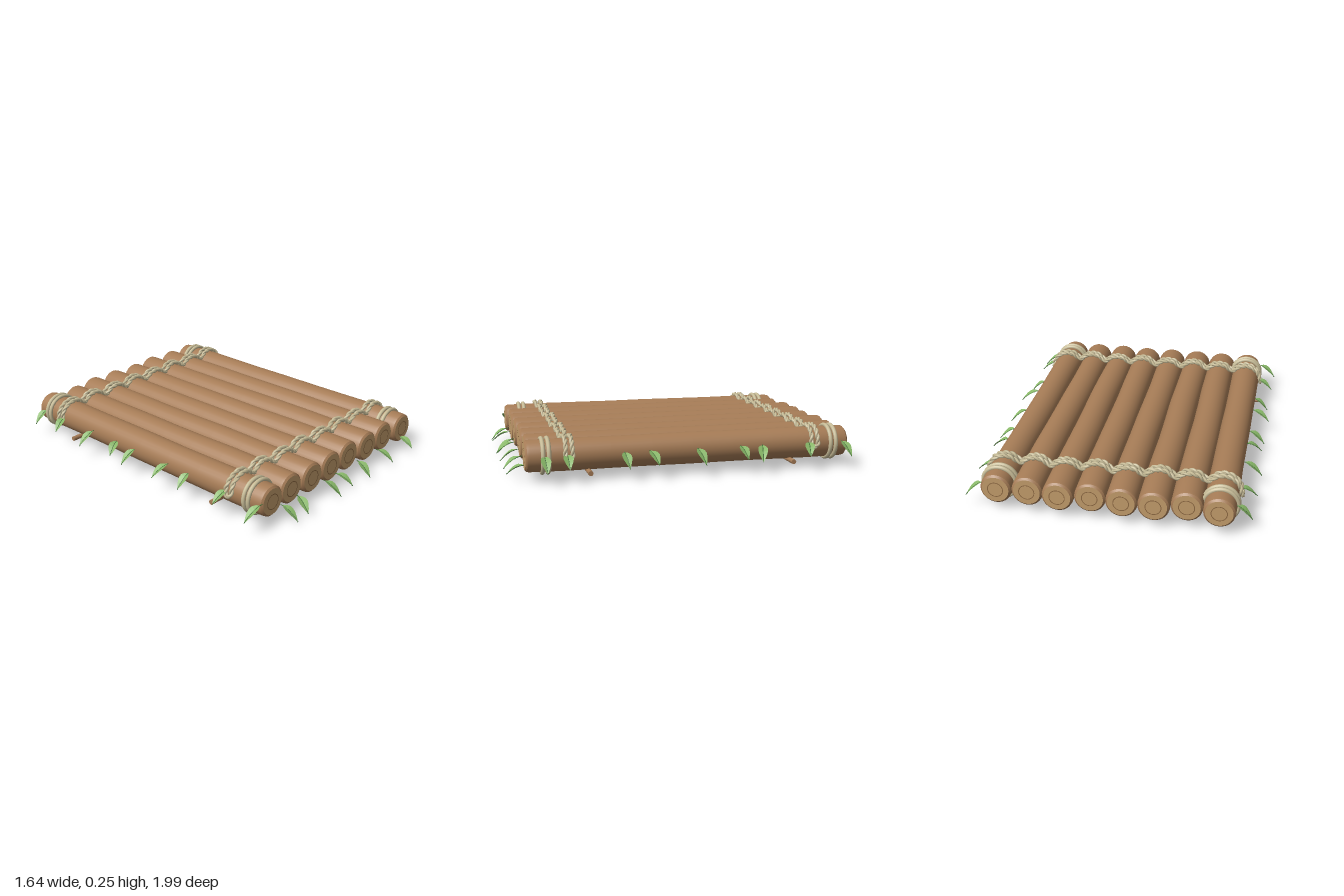
import * as THREE from 'three';
import { mergeGeometries, toCreasedNormals } from 'three/addons/utils/BufferGeometryUtils.js';

const material = (name, color, extra = {}) => {
  const m = new THREE.MeshStandardMaterial({ color, ...extra });
  m.name = name;
  return m;
};
const V = (x, y, z) => new THREE.Vector3(x, y, z);

const LOG_Y = 0.144, LOG_R = 0.09, ROPE_R = 0.101;
const LOG_X = [-0.625, -0.448, -0.271, -0.094, 0.083, 0.26, 0.437, 0.614];
const LOG_BACK = [-0.995, -0.97, -1, -0.995, -0.98, -1, -0.98, -0.985];
const LOG_FRONT = [0.89, 0.878, 0.885, 0.882, 0.875, 0.885, 0.88, 0.895];

export function createModel() {
  const raft = new THREE.Group();
  raft.name = 'raft';
  const bark = material('bark', 0xa67c56);
  const cutWood = material('cutWood', 0xc49e6c);
  const growthRing = material('growthRing', 0x8f6a43);
  const rope = material('rope', 0xc8bd98);
  const leafGreen = material('leafGreen', 0x86b566, { side: THREE.DoubleSide });
  const veinGreen = material('veinGreen', 0x4c7a40);

  const add = (name, geometry, mat, parent = raft) => {
    const mesh = new THREE.Mesh(geometry, mat);
    mesh.name = name;
    parent.add(mesh);
    return mesh;
  };

  // Logs: chamfered, faintly bent trunks with pale cut ends
  const makeLog = (x, z0, z1, i) => {
    const log = new THREE.Group();
    log.name = 'log' + (i + 1);
    log.position.set(x, LOG_Y, 0);
    const length = z1 - z0;
    const profile = [[0.076, 0], [LOG_R - 0.003, 0.01], [LOG_R - 0.001, 0.025]];
    for (let k = 1; k < 8; k++) profile.push([LOG_R + 0.0012 * Math.sin(k * 2.1 + i * 1.7), length * k / 8]);
    profile.push([LOG_R - 0.001, length - 0.025], [LOG_R - 0.003, length - 0.01], [0.076, length]);
    const trunk = new THREE.LatheGeometry(profile.map(([r, y]) => new THREE.Vector2(r, y)), 28);
    trunk.rotateX(Math.PI / 2).translate(0, 0, z0);
    const p = trunk.attributes.position;
    for (let k = 0; k < p.count; k++) {
      const t = (p.getZ(k) - z0) / length;
      p.setX(k, p.getX(k) + 0.0025 * Math.sin(Math.PI * t * (2 + i % 3)));
    }
    add('trunk', toCreasedNormals(trunk, 0.5), bark, log);
    for (const [end, z, dir] of [['front', z1, 1], ['back', z0, -1]]) {
      const turn = dir > 0 ? 0 : Math.PI;
      add(end + 'CutEnd', new THREE.CircleGeometry(0.076, 28).rotateY(turn).translate(0, 0, z), cutWood, log);
      add(end + 'GrowthRing', new THREE.RingGeometry(0.041, 0.046, 28).rotateY(turn)
        .translate(0, 0, z + dir * 0.002), growthRing, log);
    }
    raft.add(log);
  };
  LOG_X.forEach((x, i) => makeLog(x, LOG_BACK[i], LOG_FRONT[i], i));

  // Thin poles under the logs
  for (const [name, z] of [['backPole', -0.64], ['frontPole', 0.545]]) {
    add(name, new THREE.CylinderGeometry(0.014, 0.014, 1.46, 12).rotateZ(Math.PI / 2).translate(-0.005, 0.052, z), bark);
  }

  // Double rope coils round the outer logs
  for (const x of [LOG_X[0], LOG_X[7]]) {
    for (const z of [-0.905, -0.873, 0.768, 0.8]) {
      add('ropeCoil', new THREE.TorusGeometry(0.095, 0.0125, 8, 36).translate(x, LOG_Y, z), rope);
    }
  }

  // Twisted lashing: a closed loop running over every log and back
  const makeLashing = (name, z0) => {
    const over = [];
    LOG_X.forEach((x, i) => {
      const start = i === 0 ? 180 : 140, end = i === 7 ? 0 : 40;
      for (let k = 0; k <= 5; k++) {
        const a = THREE.MathUtils.degToRad(start + (end - start) * k / 5);
        over.push([x + ROPE_R * Math.cos(a), LOG_Y + 0.002 + ROPE_R * Math.sin(a)]);
      }
    });
    const sway = x => 0.005 * Math.sin(x * 17);
    const points = over.map(([x, y]) => V(x, y, z0 - 0.018 + sway(x)));
    points.push(V(0.72, LOG_Y - 0.012, z0));
    points.push(...over.slice().reverse().map(([x, y]) => V(x, y, z0 + 0.018 + sway(x))));
    points.push(V(-0.73, LOG_Y - 0.012, z0));
    const path = new THREE.CatmullRomCurve3(points, true);
    const steps = 480, turns = 44;
    const frames = path.computeFrenetFrames(steps, true);
    const strands = [0, Math.PI].map(phase => {
      const helix = [];
      for (let k = 0; k < steps; k++) {
        const a = phase + k / steps * turns * Math.PI * 2;
        helix.push(path.getPointAt(k / steps)
          .addScaledVector(frames.normals[k], 0.006 * Math.cos(a))
          .addScaledVector(frames.binormals[k], 0.006 * Math.sin(a)));
      }
      return new THREE.TubeGeometry(new THREE.CatmullRomCurve3(helix, true), 700, 0.0085, 6, true);
    });
    add(name, mergeGeometries(strands), rope);
  };
  makeLashing('backLashing', -0.768);
  makeLashing('frontLashing', 0.663);

  // Leaves: drooping blades folded along the midrib
  const makeLeaf = (name, base, tip) => {
    const leaf = new THREE.Group();
    leaf.name = name;
    const bend = base.clone().lerp(tip, 0.5);
    bend.y += 0.028;
    const midrib = new THREE.QuadraticBezierCurve3(base, bend, tip);
    const out = V(tip.x - base.x, 0, tip.z - base.z).normalize();
    const side = V(-out.z, 0, out.x);
    const widths = [0, 0.016, 0.026, 0.028, 0.023, 0.013, 0];
    const rows = widths.map((w, k) => {
      const mid = midrib.getPoint(0.1 + 0.9 * k / (widths.length - 1));
      const edge = s => mid.clone().addScaledVector(side, s * w).add(V(0, w * 0.35, 0));
      return [edge(-1), mid, edge(1)];
    });
    const corners = [];
    for (let k = 0; k < rows.length - 1; k++) {
      for (let j = 0; j < 2; j++) {
        const [a, b, c, d] = [rows[k][j], rows[k][j + 1], rows[k + 1][j + 1], rows[k + 1][j]];
        corners.push(a, b, c, a, c, d);
      }
    }
    const blade = new THREE.BufferGeometry().setFromPoints(corners);
    blade.computeVertexNormals();
    add('blade', blade, leafGreen, leaf);
    add('midrib', new THREE.TubeGeometry(midrib, 8, 0.0025, 5), veinGreen, leaf);
    raft.add(leaf);
  };

  // Side leaves as [base z, tip z]
  const rightLeaves = [[-0.92, -0.93], [-0.745, -0.715], [-0.46, -0.475], [-0.25, -0.215], [-0.085, -0.105],
    [0.195, 0.165], [0.355, 0.35], [0.645, 0.625], [0.885, 0.86]];
  const leftLeaves = [[-0.94, -0.968], [-0.74, -0.71], [-0.455, -0.42], [-0.32, -0.34], [-0.065, -0.09],
    [0.21, 0.18], [0.355, 0.34], [0.67, 0.67], [0.795, 0.79]];
  rightLeaves.forEach(([zb, zt], i) =>
    makeLeaf('rightLeaf', V(-0.705, 0.16, zb), V(-0.8 - 0.01 * (i % 3), 0.085 + 0.015 * (i % 2), zt)));
  leftLeaves.forEach(([zb, zt], i) =>
    makeLeaf('leftLeaf', V(0.695, 0.16, zb), V(0.795 + 0.01 * (i % 3), 0.08 + 0.015 * (i % 2), zt)));

  // Front leaves as [base x, tip x, tip y]
  const frontLeaves = [[-0.545, -0.53, 0.018], [-0.405, -0.44, 0.028], [-0.17, -0.137, 0.008], [-0.06, -0.03, 0.035],
    [0.16, 0.143, 0.02], [0.355, 0.385, 0.028], [0.6, 0.592, 0.045]];
  frontLeaves.forEach(([xb, xt, y]) => makeLeaf('frontLeaf', V(xb, 0.09, 0.88), V(xt, y, 0.99)));

  return raft;
}
